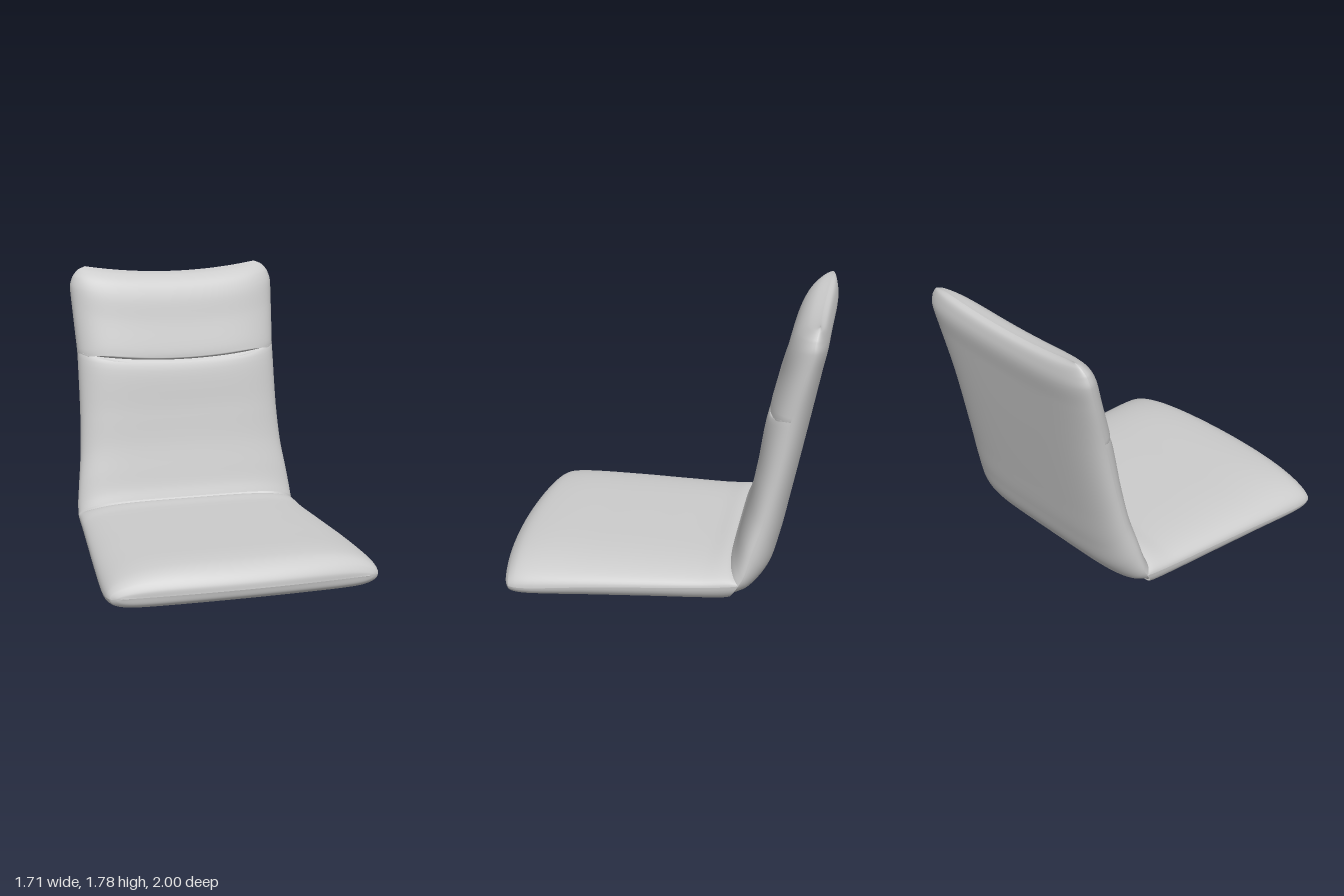
import * as THREE from 'three';

const material = new THREE.MeshStandardMaterial({ color: 0xcccccc, side: THREE.DoubleSide });

// Each row: [face z, y], [side seam z, y], [rear z, y], [half width, sag, bow]
const seatRows = [
  [[1.0, 0.085], [1.0, 0.085], [1.0, 0.085], [0.76, -0.015, 0.07]],
  [[0.995, 0.125], [0.985, 0.08], [0.985, 0.04], [0.8, -0.015, 0.07]],
  [[0.96, 0.175], [0.96, 0.08], [0.95, 0.012], [0.835, -0.015, 0.065]],
  [[0.9, 0.215], [0.9, 0.08], [0.88, 0.004], [0.85, -0.015, 0.05]],
  [[0.78, 0.235], [0.78, 0.085], [0.76, 0.002], [0.853, -0.015, 0.03]],
  [[0.4, 0.24], [0.4, 0.11], [0.4, 0.007], [0.83, -0.01, 0]],
  [[0, 0.24], [0, 0.125], [0, 0.012], [0.795, -0.005, 0]],
  [[-0.3, 0.243], [-0.3, 0.135], [-0.3, 0.015], [0.768, 0, 0]],
  [[-0.43, 0.25], [-0.47, 0.15], [-0.43, 0.02], [0.757, 0, 0]],
  [[-0.48, 0.22], [-0.53, 0.16], [-0.45, 0.025], [0.755, 0, 0]],
];

const backRows = [
  [[-0.45, 0.255], [-0.53, 0.16], [-0.45, 0.025], [0.755, 0, 0]],
  [[-0.478, 0.33], [-0.56, 0.22], [-0.58, 0.075], [0.752, 0, 0]],
  [[-0.51, 0.45], [-0.6, 0.36], [-0.69, 0.2], [0.735, 0, 0]],
  [[-0.55, 0.62], [-0.66, 0.55], [-0.745, 0.38], [0.71, 0.01, 0]],
  [[-0.59, 0.85], [-0.72, 0.8], [-0.8, 0.65], [0.695, 0.03, 0]],
  [[-0.65, 1.2], [-0.8, 1.22], [-0.9, 1.17], [0.69, 0.06, 0.01]],
  [[-0.715, 1.47], [-0.88, 1.52], [-0.965, 1.5], [0.705, 0.055, 0.015]],
  [[-0.76, 1.64], [-0.915, 1.65], [-0.995, 1.65], [0.71, 0.05, 0.015]],
  [[-0.805, 1.725], [-0.925, 1.72], [-0.99, 1.715], [0.69, 0.05, 0.015]],
  [[-0.86, 1.768], [-0.935, 1.765], [-0.972, 1.765], [0.65, 0.05, 0.015]],
  [[-0.94, 1.785], [-0.94, 1.785], [-0.94, 1.785], [0.6, 0.05, 0.015]],
];

// Swap the face point of a row, used for the lips at the headrest crease
const withFace = (row, z, y) => [[z, y], ...row.slice(1)];

// One padded panel: side 0 is the sitting face, side 2 the rear face.
// The panel domes from the side seams; a higher power gives tighter edges.
function panel(name, rows, side, power) {
  const curve = (k) => new THREE.CatmullRomCurve3(rows.map((r) => new THREE.Vector3(...r[k], 0).setZ(r[k][2] ?? 0)));
  const outer = curve(side), seam = curve(1), shape = curve(3);
  const steps = (rows.length - 1) * 8, cols = 48;
  const positions = [], index = [];
  for (let i = 0; i <= steps; i++) {
    const t = i / steps;
    const o = outer.getPoint(t), m = seam.getPoint(t), s = shape.getPoint(t);
    for (let j = 0; j <= cols; j++) {
      const u = Math.sin((j / cols - 0.5) * Math.PI);
      const dome = Math.sqrt(Math.max(0, 1 - Math.abs(u) ** power));
      positions.push(
        u * s.x,
        m.y + (o.y - m.y) * dome + s.y * (u * u - 1),
        m.x + (o.x - m.x) * dome - s.z * u * u,
      );
      if (i < steps && j < cols) {
        const a = i * (cols + 1) + j, b = a + 1, c = a + cols + 1, d = c + 1;
        if (side === 0) index.push(a, b, d, a, d, c);
        else index.push(a, d, b, a, c, d);
      }
    }
  }
  const geometry = new THREE.BufferGeometry();
  geometry.setAttribute('position', new THREE.Float32BufferAttribute(positions, 3));
  geometry.setIndex(index);
  geometry.computeVertexNormals();
  const mesh = new THREE.Mesh(geometry, material);
  mesh.name = name;
  return mesh;
}

export function createModel() {
  const model = new THREE.Group();
  model.name = 'chairSeatShell';

  // Seat cushion: domed top and flatter underside
  const seat = new THREE.Group();
  seat.name = 'seat';
  seat.add(panel('seatTop', seatRows, 0, 4.5), panel('seatUnderside', seatRows, 2, 12));

  // Backrest: lower pad and headrest pad meet in a tucked crease
  const crease = backRows[5];
  const lowerPad = [
    ...backRows.slice(0, 5),
    withFace(crease, -0.652, 1.205),
    withFace(crease, -0.685, 1.227),
  ];
  const headPad = [
    withFace(crease, -0.685, 1.222),
    withFace(crease, -0.658, 1.235),
    withFace(crease, -0.657, 1.26),
    ...backRows.slice(6),
  ];
  const back = new THREE.Group();
  back.name = 'backrest';
  back.add(
    panel('lowerBackPad', lowerPad, 0, 5),
    panel('headrestPad', headPad, 0, 5),
    panel('backPanel', backRows, 2, 6),
  );

  model.add(seat, back);
  return model;
}
